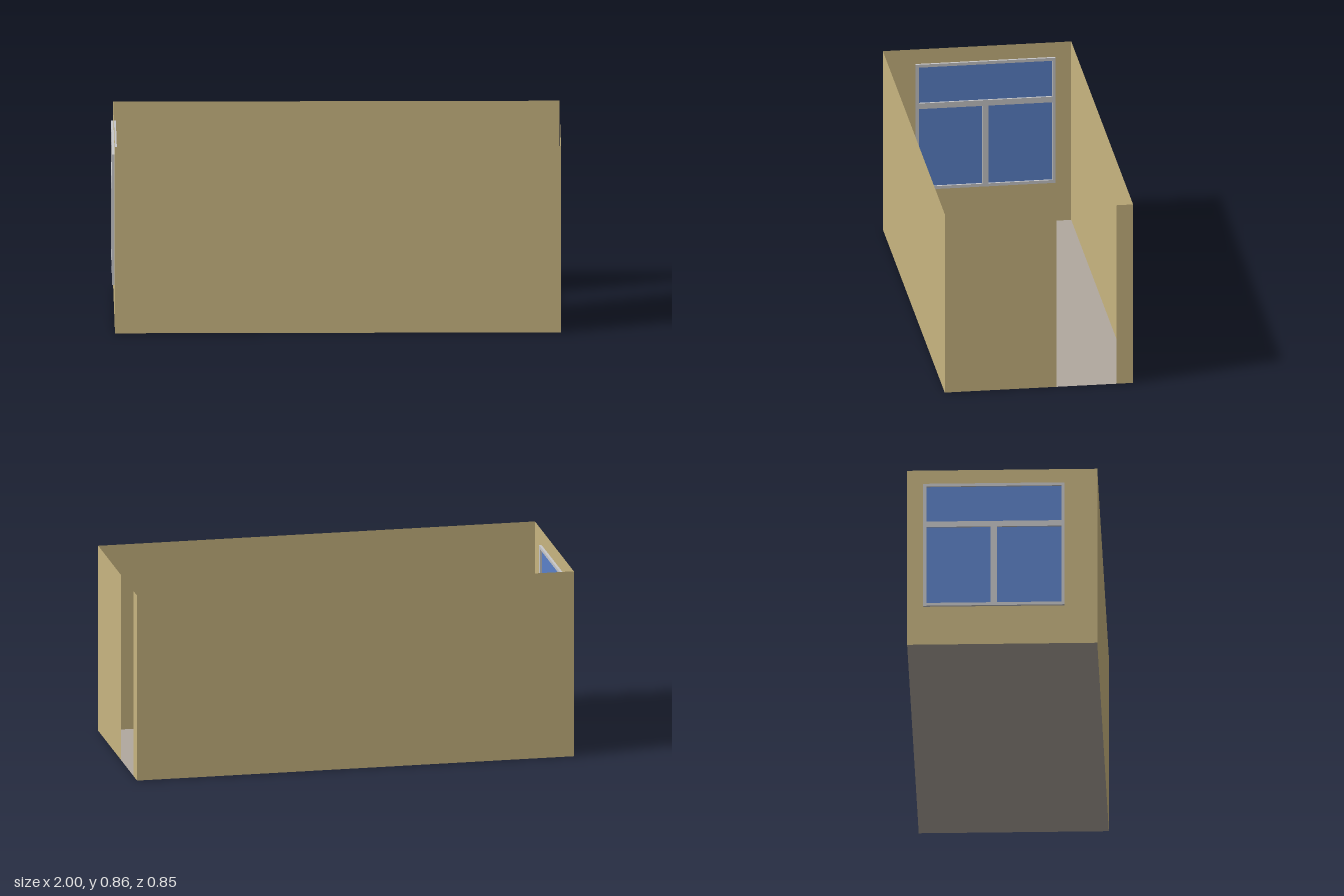
import * as THREE from 'three';

export function createModel() {
  const group = new THREE.Group();
  const mat = (name, color, side = THREE.FrontSide) => {
    const m = new THREE.MeshStandardMaterial({ color, side });
    m.name = name;
    return m;
  };
  const wallMat = mat('tan wall', 0xc9b681, THREE.DoubleSide);
  const floorMat = mat('warm grey floor', 0xb1a89e, THREE.DoubleSide);
  const frameMat = mat('light grey frame', 0xc8c8ca);
  const glassMat = mat('blue glass', 0x5b82ca);

  const X0 = -0.989, X1 = 1, Z = 0.424, H = 0.856;
  const midX = (X0 + X1) / 2;

  const add = (name, geo, material, parent = group) => {
    const mesh = new THREE.Mesh(geo, material);
    mesh.name = name;
    parent.add(mesh);
    return mesh;
  };

  // Floor sheet
  add('floor', new THREE.PlaneGeometry(X1 - X0, 2 * Z).rotateX(-Math.PI / 2).translate(midX, 0, 0), floorMat);

  // Long walls
  for (const [name, s] of [['frontWall', 1], ['backWall', -1]]) {
    const geo = new THREE.PlaneGeometry(X1 - X0, H);
    if (s < 0) geo.rotateY(Math.PI);
    add(name, geo.translate(midX, H / 2, s * Z), wallMat);
  }

  // End wall panels either side of the full-height doorway
  for (const [name, z0, z1] of [['doorWallWide', -0.078, Z], ['doorWallNarrow', -Z, -0.35]]) {
    const geo = new THREE.PlaneGeometry(z1 - z0, H).rotateY(Math.PI / 2);
    add(name, geo.translate(X1, H / 2, (z0 + z1) / 2), wallMat);
  }

  // Rectangle outline as corner points
  const rect = (a0, b0, a1, b1) => [[a0, b0], [a1, b0], [a1, b1], [a0, b1]].map(p => new THREE.Vector2(...p));

  // Window wall: the shape's x axis runs along world z
  const W = { z0: -0.352, z1: 0.278, y0: 0.186, y1: 0.786 };
  const wall = new THREE.Shape(rect(-Z, 0, Z, H));
  wall.holes.push(new THREE.Path(rect(W.z0, W.y0, W.z1, W.y1)));
  add('windowWall', new THREE.ShapeGeometry(wall).rotateY(-Math.PI / 2).translate(X0, 0, 0), wallMat);

  // Window frame with one transom light above two lower panes
  const win = new THREE.Group();
  win.name = 'window';
  group.add(win);
  const t = 0.014, mid = (W.z0 + W.z1) / 2;
  const panes = [
    [W.z0 + t, 0.6, W.z1 - t, W.y1 - t],
    [W.z0 + t, W.y0 + t, mid - t, 0.573],
    [mid + t, W.y0 + t, W.z1 - t, 0.573],
  ];
  const frame = new THREE.Shape(rect(W.z0, W.y0, W.z1, W.y1));
  for (const p of panes) frame.holes.push(new THREE.Path(rect(...p)));
  const frameGeo = new THREE.ExtrudeGeometry(frame, { depth: 0.022, bevelEnabled: false });
  add('windowFrame', frameGeo.rotateY(-Math.PI / 2).translate(-0.978, 0, 0), frameMat, win);

  // Glass panes set inside the frame
  for (const [z0, y0, z1, y1] of panes) {
    const geo = new THREE.BoxGeometry(0.006, y1 - y0, z1 - z0);
    add('glassPane', geo.translate(-0.99, (y0 + y1) / 2, (z0 + z1) / 2), glassMat, win);
  }
  return group;
}
